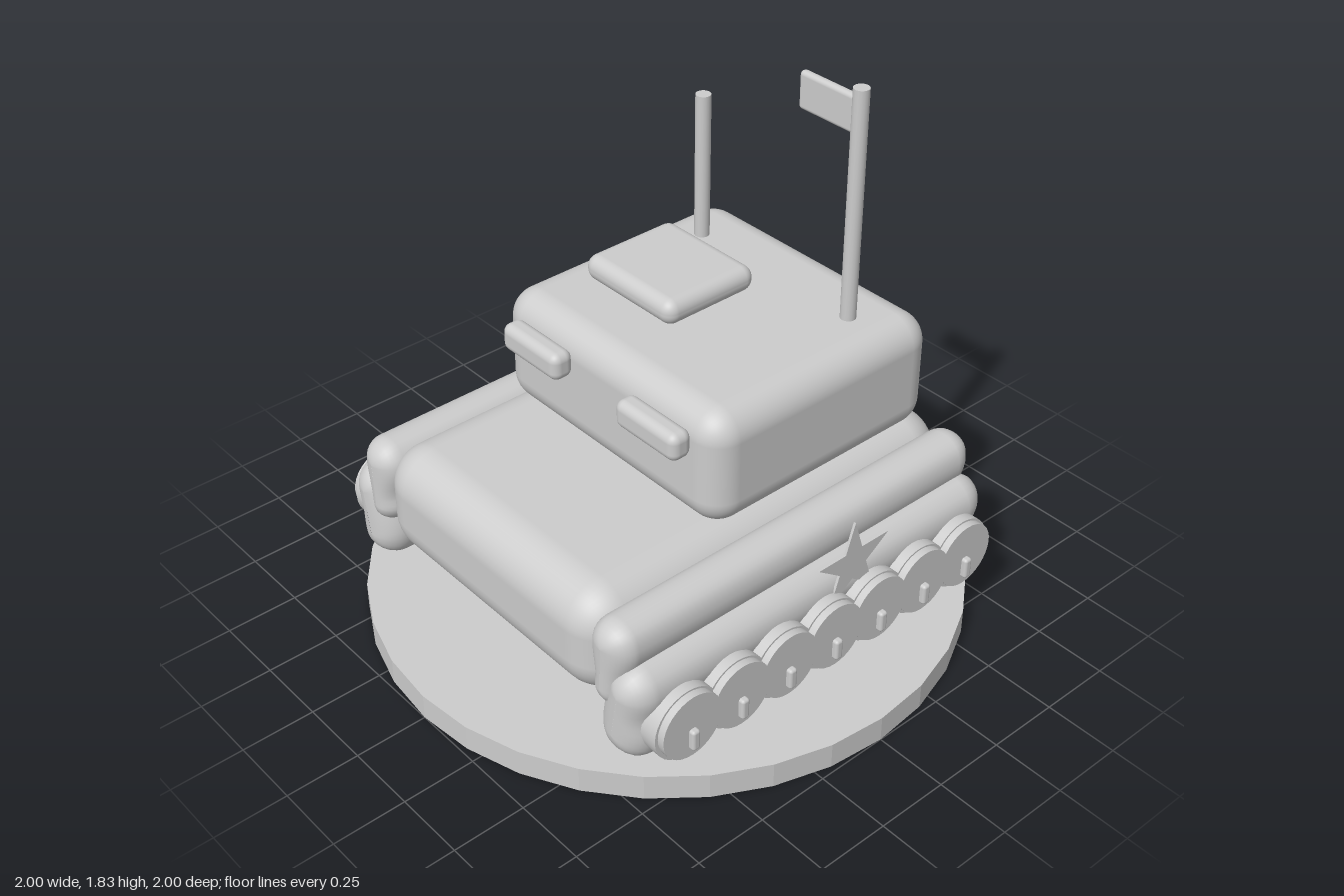
import * as THREE from 'three';
import { RoundedBoxGeometry } from 'three/addons/geometries/RoundedBoxGeometry.js';

export function createModel() {
  const model = new THREE.Group();
  const grey = new THREE.MeshStandardMaterial({ color: 0xcccccc });
  grey.name = 'plainGrey';

  function add(name, geometry, x = 0, y = 0, z = 0) {
    const mesh = new THREE.Mesh(geometry, grey);
    mesh.name = name;
    mesh.position.set(x, y, z);
    model.add(mesh);
    return mesh;
  }
  // Rounded box given by its min and max corners
  function block(name, [x0, y0, z0], [x1, y1, z1], radius) {
    return add(name, new RoundedBoxGeometry(x1 - x0, y1 - y0, z1 - z0, 6, radius),
      (x0 + x1) / 2, (y0 + y1) / 2, (z0 + z1) / 2);
  }
  // Upright pole
  function pole(name, x, z, y0, y1) {
    add(name, new THREE.CylinderGeometry(0.026, 0.026, y1 - y0, 16), x, (y0 + y1) / 2, z);
  }
  // Soft bar along z: a closed outline that rounds off onto the segment a-b at both ends
  function softBar(outline, a, b, half, radius, side) {
    const curve = new THREE.CatmullRomCurve3(
      outline.map(([x, y]) => new THREE.Vector3(x, y, 0)), true);
    const around = 40, steps = 8;
    const core = new THREE.Line3(new THREE.Vector3(...a, 0), new THREE.Vector3(...b, 0));
    const ring = curve.getPoints(around);
    const positions = [], index = [];
    const rows = [];
    for (let i = 0; i <= steps; i++) {
      const t = (i / steps - 1) * Math.PI / 2;
      rows.push([Math.cos(t), -half + radius + radius * Math.sin(t)]);
    }
    rows.push(...rows.map(([s, z]) => [s, -z]).reverse());
    for (const [s, z] of rows) {
      for (let j = 0; j < around; j++) {
        const c = core.closestPointToPoint(ring[j], true, new THREE.Vector3());
        const p = c.lerp(ring[j], Math.max(s, 0.001));
        positions.push(p.x * side, p.y, z);
      }
    }
    for (let i = 0; i < rows.length - 1; i++) {
      for (let j = 0; j < around; j++) {
        const p = i * around + j, q = i * around + (j + 1) % around;
        const r = p + around, s = q + around;
        if (side > 0) index.push(p, q, s, p, s, r);
        else index.push(p, s, q, p, r, s);
      }
    }
    const g = new THREE.BufferGeometry();
    g.setAttribute('position', new THREE.Float32BufferAttribute(positions, 3));
    g.setIndex(index);
    g.computeVertexNormals();
    return g;
  }

  // Display base
  add('base', new THREE.CylinderGeometry(1, 1, 0.09, 32).toNonIndexed(), 0, 0.045, 0)
    .geometry.computeVertexNormals();

  // Hull, turret and roof hatch
  block('hull', [-0.55, 0.24, -0.755], [0.55, 0.63, 0.755], 0.14);
  block('turret', [-0.515, 0.625, -0.675], [0.515, 1.035, 0.26], 0.1);
  block('hatch', [-0.385, 1.03, -0.35], [0.035, 1.12, 0.02], 0.042);

  // Headlights
  for (const x of [-0.278, 0.275]) {
    block('headlight', [x - 0.137, 0.88, 0.255], [x + 0.137, 0.977, 0.335], 0.03);
  }

  // Aerial, flagpole and flag
  pole('aerial', -0.337, -0.45, 1.0, 1.55);
  pole('flagpole', 0.343, -0.45, 1.0, 1.825);
  block('flag', [0.1, 1.67, -0.465], [0.335, 1.797, -0.435], 0.014);

  // Outlines of the fender and track, counter-clockwise on the left side
  const fender = [[0.59, 0.3], [0.62, 0.33], [0.635, 0.42], [0.66, 0.51], [0.645, 0.575],
    [0.6, 0.604], [0.54, 0.6], [0.5, 0.56], [0.49, 0.51], [0.51, 0.42], [0.505, 0.36], [0.54, 0.31]];
  const track = [[0.62, 0.13], [0.69, 0.15], [0.718, 0.22], [0.715, 0.3], [0.732, 0.38],
    [0.715, 0.44], [0.66, 0.477], [0.59, 0.45], [0.56, 0.39], [0.53, 0.3], [0.525, 0.22], [0.555, 0.155]];

  for (const side of [1, -1]) {
    add('fender', softBar(fender, [0.575, 0.53], [0.57, 0.37], 0.757, 0.08, side));
    add('track', softBar(track, [0.645, 0.385], [0.62, 0.225], 0.757, 0.095, side));

    // Road wheels with a raised face and a small upright knob
    for (let i = 0; i < 7; i++) {
      const z = 0.588 - i * 0.196;
      const tyre = add('wheel', new THREE.CylinderGeometry(0.125, 0.125, 0.145, 32), side * 0.6925, 0.275, z);
      const face = add('wheelFace', new THREE.CylinderGeometry(0.114, 0.114, 0.09, 32), side * 0.745, 0.28, z);
      tyre.rotation.z = face.rotation.z = Math.PI / 2;
      const x = side * 0.795;
      block('wheelKnob', [x - 0.015, 0.198, z - 0.015], [x + 0.015, 0.273, z + 0.015], 0.01);
    }
  }

  // Star plate on the left side
  const star = new THREE.Shape();
  for (let i = 0; i < 10; i++) {
    const r = i % 2 ? 0.06 : 0.157, t = Math.PI / 2 + i * Math.PI / 5;
    if (i) star.lineTo(r * Math.cos(t), r * Math.sin(t));
    else star.moveTo(r * Math.cos(t), r * Math.sin(t));
  }
  star.closePath();
  const plate = new THREE.ExtrudeGeometry(star, { depth: 0.009, bevelEnabled: false });
  add('star', plate, 0.727, 0.472, -0.115).rotation.y = Math.PI / 2;

  return model;
}
